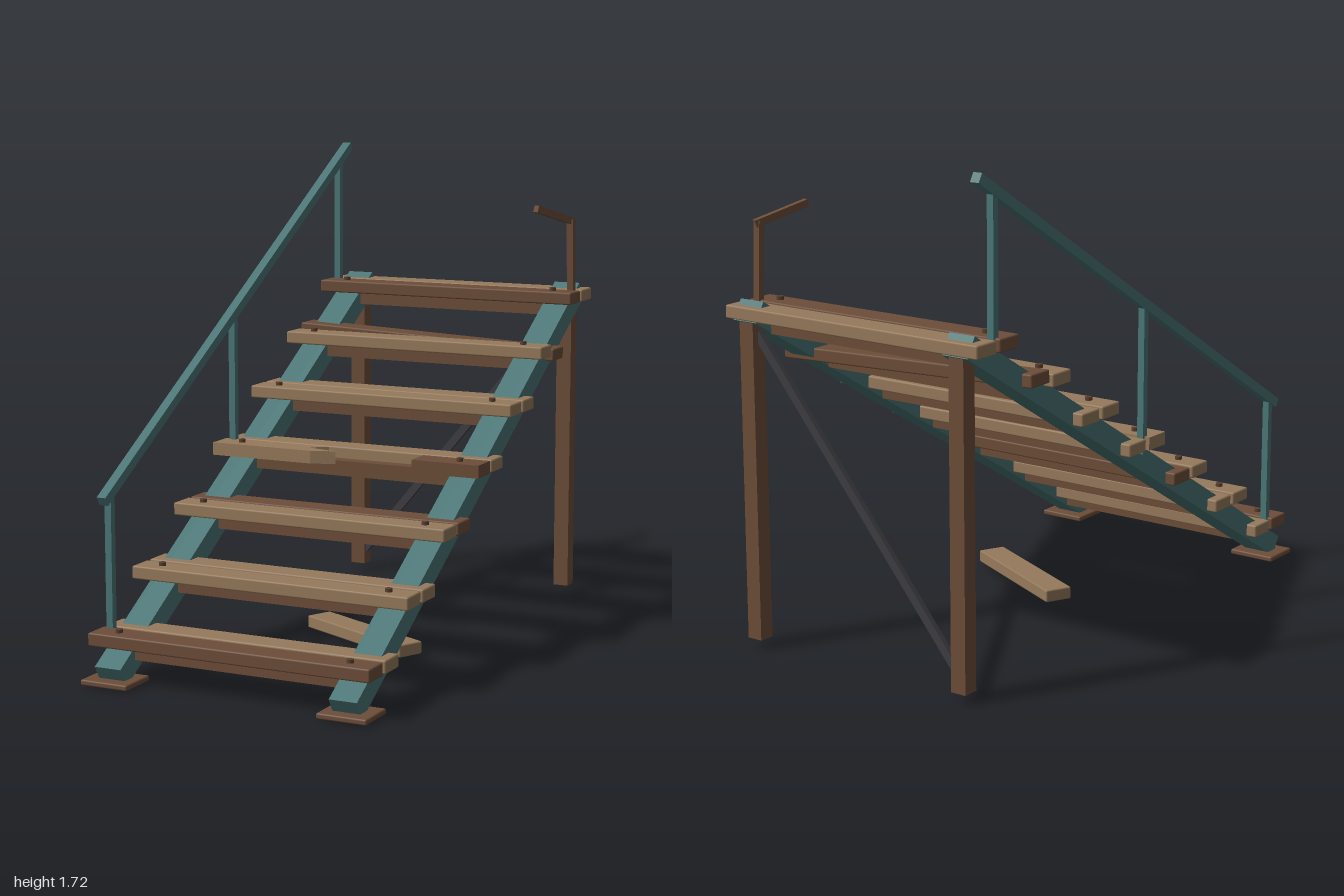
import * as THREE from 'three';
import { RoundedBoxGeometry } from 'three/addons/geometries/RoundedBoxGeometry.js';

const mat = (name, color) => {
  const m = new THREE.MeshStandardMaterial({ color });
  m.name = name;
  return m;
};

export function createModel() {
  const group = new THREE.Group();
  const lightWood = mat('light wood', 0x967a5b);
  const darkWood = mat('dark wood', 0x6c4d38);
  const teal = mat('painted teal', 0x4b7676);
  const iron = mat('dark iron', 0x3e3d42);
  const rust = mat('rusty bolt', 0x59402f);

  const add = (name, geo, material, x, y, z) => {
    const mesh = new THREE.Mesh(geo, material);
    mesh.name = name;
    mesh.position.set(x, y, z);
    group.add(mesh);
    return mesh;
  };
  const box = (name, w, h, d, material, x, y, z) =>
    add(name, new THREE.BoxGeometry(w, h, d), material, x, y, z);
  const plank = (name, w, h, d, material, x, y, z) =>
    add(name, new RoundedBoxGeometry(w, h, d, 1, 0.006), material, x, y, z);

  // Square bar between two points, its length along local z
  const bar = (name, a, b, w, h, material) => {
    const p = new THREE.Vector3(...a), q = new THREE.Vector3(...b);
    const mid = p.clone().add(q).multiplyScalar(0.5);
    const mesh = box(name, w, h, p.distanceTo(q), material, mid.x, mid.y, mid.z);
    mesh.lookAt(q);
    return mesh;
  };

  // Stringers, feet and rear legs
  for (const s of [-1, 1]) {
    const x = s * 0.438;
    bar('stringer', [x, 0.031, 0.955], [x, 1.178, -0.977], 0.1, 0.077, teal);
    plank('footPlate', 0.18, 0.02, 0.15, darkWood, s * 0.442, 0.012, 0.922).position.y = 0.01;
    box('rearLeg', 0.058, 1.12, 0.058, darkWood, x, 0.59, -0.961);
  }
  bar('diagonalBrace', [-0.43, 0.07, -0.955], [0.43, 1.115, -0.955], 0.02, 0.03, iron);

  // Steps: two planks each, a cross bar below and two bolts
  const W = 1.05, H = 0.046, D = 0.102;
  const bolt = new THREE.CylinderGeometry(0.013, 0.013, 0.016, 8);
  for (let i = 0; i < 7; i++) {
    const y = 0.149 + 0.17 * i;
    const z = 0.904 - 0.2885 * i;
    if (i !== 3) {
      plank('frontTread', W, H, D, i === 0 || i === 6 ? darkWood : lightWood, -0.002, y, z);
    }
    const back = plank('backTread', W, H, D, i === 2 || i === 5 ? darkWood : lightWood, -0.002, y, z - 0.12);
    if (i === 5) back.rotation.z = -0.04; // loose plank
    box('crossBar', 0.78, 0.055, 0.07, darkWood, 0, y - 0.046, z - 0.06);
    for (const x of [-0.434, 0.43]) add('bolt', bolt, rust, x, y + 0.027, z);
  }

  // Snapped tread: splintered left half and short right stub
  const splinter = new THREE.Shape([
    [-0.527, 0.051], [-0.527, -0.051], [-0.13, -0.051], [-0.045, -0.02],
    [-0.165, 0.008], [-0.105, 0.051],
  ].map(([x, y]) => new THREE.Vector2(x, y)));
  const splinterGeo = new THREE.ExtrudeGeometry(splinter, { depth: H, bevelEnabled: false });
  splinterGeo.rotateX(-Math.PI / 2);
  const midY = 0.149 + 0.17 * 3, midZ = 0.904 - 0.2885 * 3;
  add('brokenTreadLeft', splinterGeo, lightWood, 0, midY - H / 2, midZ);
  box('brokenTreadRight', 0.255, H, D, darkWood, 0.395, midY, midZ);

  // Fallen piece on the ground
  plank('fallenPlank', 0.536, 0.046, 0.102, lightWood, 0.088, 0.037, 0.1).rotation.y = -0.4625;

  // Handrail with three posts
  const railX = -0.494;
  bar('handrail', [railX, 0.613, 0.9], [railX, 1.708, -0.955], 0.034, 0.034, teal);
  for (const [z, y0, y1] of [[0.855, 0.14, 0.635], [-0.008, 0.62, 1.145], [-0.872, 1.15, 1.655]]) {
    box('railPost', 0.025, y1 - y0, 0.025, teal, railX, (y0 + y1) / 2, z);
  }

  // Bent leftover post on the other side
  bar('bentPostLower', [0.488, 1.15, -0.873], [0.488, 1.462, -0.858], 0.025, 0.025, darkWood);
  bar('bentPostUpper', [0.494, 1.45, -0.872], [0.408, 1.508, -0.706], 0.025, 0.025, darkWood);

  return group;
}
